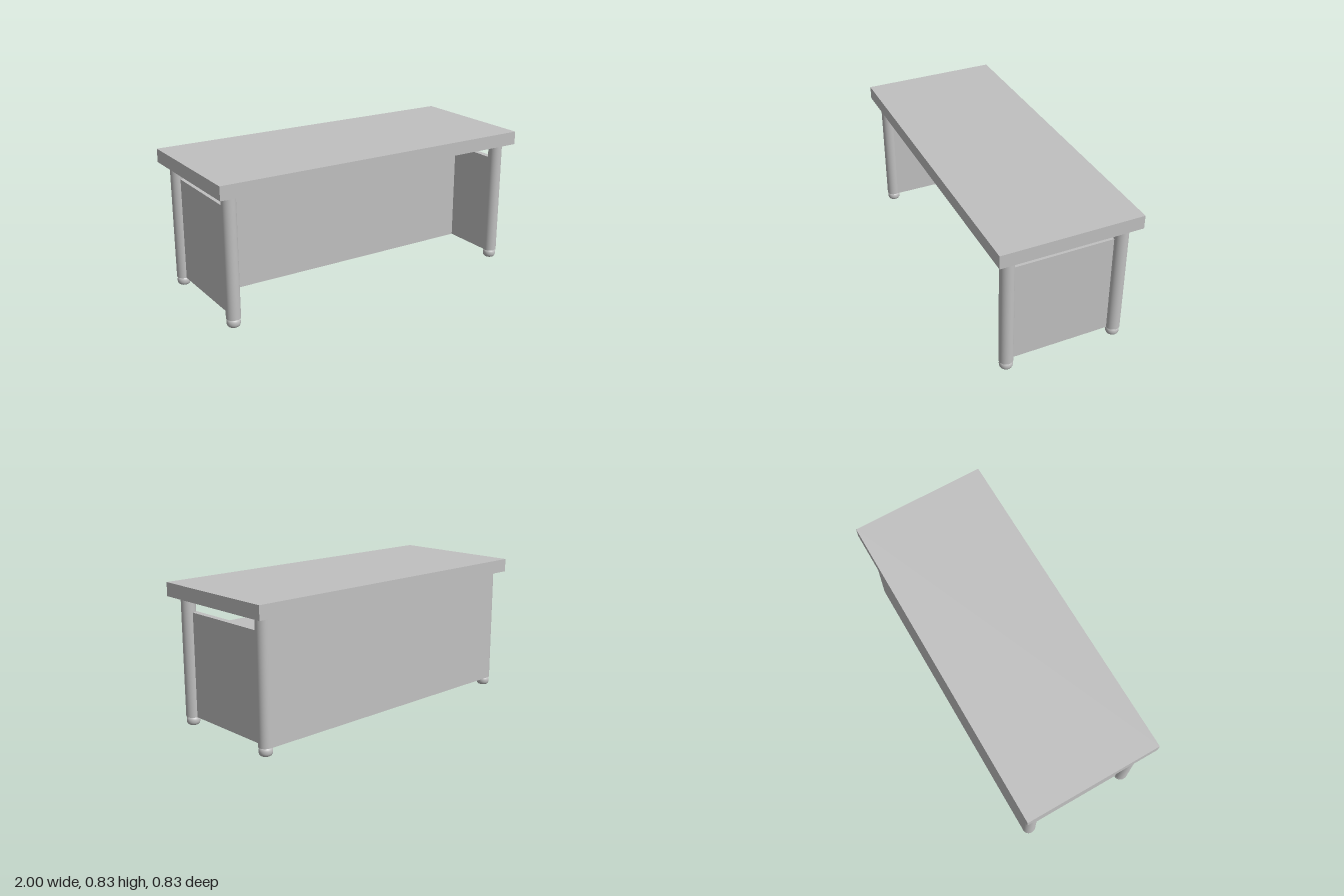
import * as THREE from 'three';

export function createModel() {
  const model = new THREE.Group();
  model.name = 'desk';
  const grey = new THREE.MeshStandardMaterial({ color: 0xc0c0c0 });
  grey.name = 'grey';

  const add = (name, geometry, x, y, z) => {
    const mesh = new THREE.Mesh(geometry, grey);
    mesh.name = name;
    mesh.position.set(x, y, z);
    model.add(mesh);
  };
  // box from its minimum and maximum corners
  const addBox = (name, [x0, y0, z0], [x1, y1, z1]) =>
    add(name, new THREE.BoxGeometry(x1 - x0, y1 - y0, z1 - z0),
      (x0 + x1) / 2, (y0 + y1) / 2, (z0 + z1) / 2);

  const legX = 0.917, legZ = 0.334, legR = 0.041;
  const floorY = 0.05, panelY = 0.667, topY = 0.754;

  addBox('tableTop', [-1, topY, -0.415], [1, 0.834, 0.415]);

  // full-height back panel, flush with the backs of the legs
  addBox('backPanel', [-legX, floorY, -legZ - legR], [legX, topY, -legZ]);
  // lower body behind the knee space
  addBox('lowerBody', [-0.88, floorY, -legZ], [0.88, panelY, 0]);

  // rounded foot profile
  const r = 0.018, R = 0.039;
  const profile = [new THREE.Vector2(0, 0)];
  for (let i = 0; i <= 8; i++) {
    const a = -Math.PI / 2 + (i / 8) * (Math.PI / 2);
    profile.push(new THREE.Vector2(R - r + r * Math.cos(a), 0.024 + 0.024 * Math.sin(a)));
  }
  for (let i = 0; i <= 8; i++) {
    const a = (i / 8) * (Math.PI / 2);
    profile.push(new THREE.Vector2(R - r + r * Math.cos(a), 0.028 + 0.023 * Math.sin(a)));
  }
  const footGeometry = new THREE.LatheGeometry(profile, 40);
  const legGeometry = new THREE.CylinderGeometry(legR, legR, topY - floorY, 48);

  for (const [side, sx] of [['left', 1], ['right', -1]]) {
    // side panel between front and back legs
    add(side + 'Panel', new THREE.BoxGeometry(0.037, panelY - floorY, legZ * 2),
      sx * (legX - 0.0185), (floorY + panelY) / 2, 0);
    for (const [end, sz] of [['Front', 1], ['Back', -1]]) {
      add(side + end + 'Leg', legGeometry, sx * legX, (floorY + topY) / 2, sz * legZ);
      add(side + end + 'Foot', footGeometry, sx * legX, 0, sz * legZ);
    }
  }
  return model;
}
